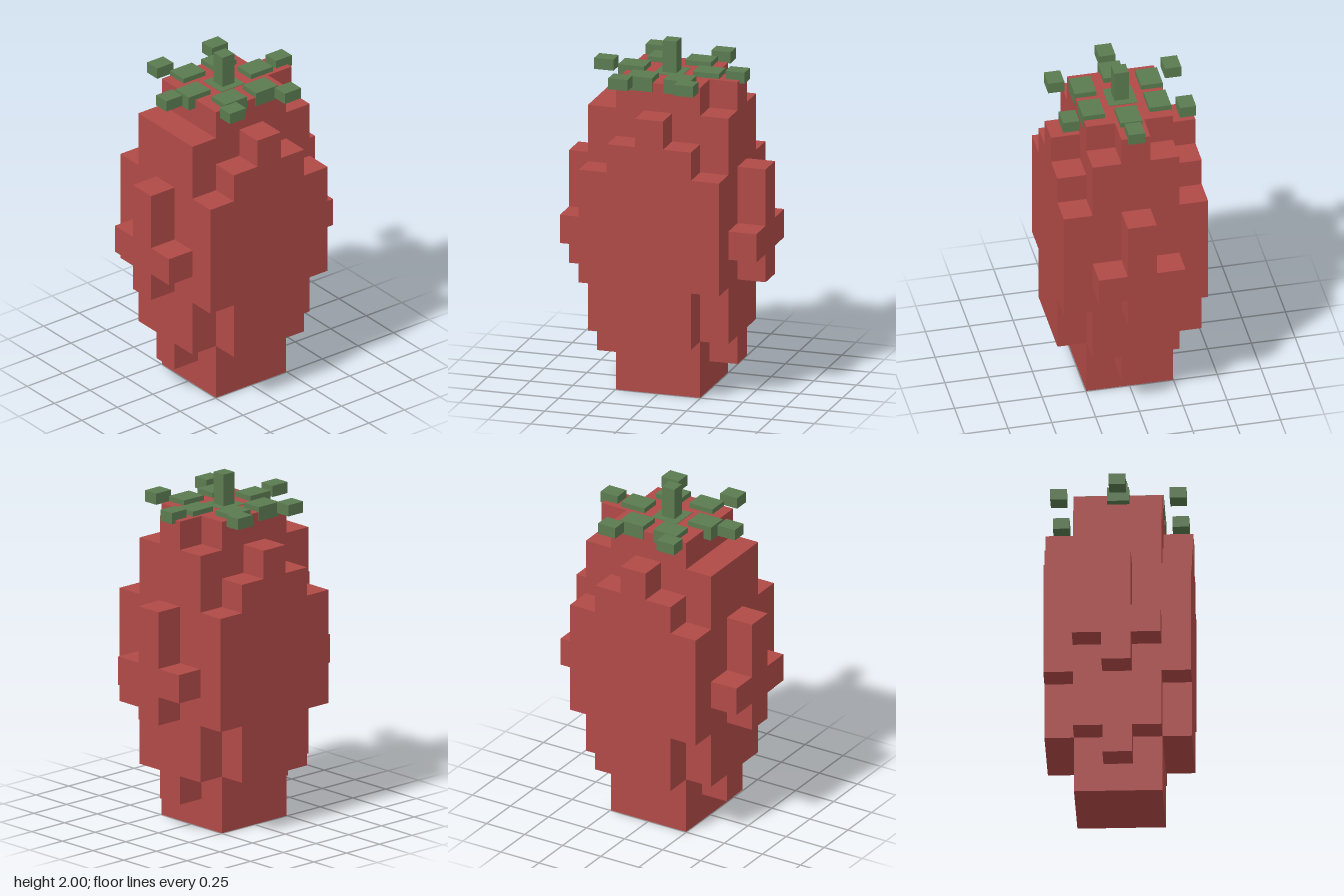
import * as THREE from 'three';
import { mergeGeometries } from 'three/addons/utils/BufferGeometryUtils.js';

const S = 0.1648; // voxel edge
const TOP = 11 * S;

// Voxel runs of the fruit: half-width x, half-width z, first layer, last layer
const runs = [
  [1, 1, 0, 10], // core
  [2, 0, 1, 9], [2, 1, 2, 9], // side bulges
  [1, 2, 2, 8], [2, 2, 4, 7], [0, 2, 9, 9], // front and back bulges
  [3, 0, 4, 7], [3, 1, 5, 5], // crosses on both sides
];

function filled(x, y, z) {
  if (x === 2 && y === 10 && z === 0) return true; // lone bump on the left shoulder
  return runs.some(([hx, hz, y0, y1]) =>
    Math.abs(x) <= hx && Math.abs(z) <= hz && y >= y0 && y <= y1);
}

// Keep only the voxel faces that border empty space
function voxelGeometry() {
  const sides = [
    [[0, 0, 1], 0, 0], [[0, 0, -1], 0, Math.PI],
    [[1, 0, 0], 0, Math.PI / 2], [[-1, 0, 0], 0, -Math.PI / 2],
    [[0, 1, 0], -Math.PI / 2, 0], [[0, -1, 0], Math.PI / 2, 0],
  ];
  const faces = [];
  for (let x = -3; x <= 3; x++)
    for (let y = 0; y <= 10; y++)
      for (let z = -2; z <= 2; z++) {
        if (!filled(x, y, z)) continue;
        for (const [[dx, dy, dz], rx, ry] of sides) {
          if (filled(x + dx, y + dy, z + dz)) continue;
          faces.push(new THREE.PlaneGeometry(S, S).rotateX(rx).rotateY(ry)
            .translate((x + dx / 2) * S, (y + 0.5 + dy / 2) * S, (z + dz / 2) * S));
        }
      }
  return mergeGeometries(faces);
}

export function createModel() {
  const red = new THREE.MeshStandardMaterial({ color: 0xb04a47 });
  red.name = 'berry red';
  const green = new THREE.MeshStandardMaterial({ color: 0x5b7b50 });
  green.name = 'leaf green';

  const model = new THREE.Group();
  model.name = 'strawberry';

  const body = new THREE.Mesh(voxelGeometry(), red);
  body.name = 'fruit';
  model.add(body);

  const crown = new THREE.Group();
  crown.name = 'crown';
  model.add(crown);

  function block(name, w, d, y0, y1, x, z) {
    const mesh = new THREE.Mesh(new THREE.BoxGeometry(w, y1 - y0, d), green);
    mesh.name = name;
    mesh.position.set(x, (y0 + y1) / 2, z);
    crown.add(mesh);
  }

  block('crownPatch', S, S, TOP - 0.002, TOP + 0.003, 0, 0);
  block('stem', 0.082, 0.082, TOP, 2, 0, 0);

  // Six leaves around the stem, each with a raised tip further out
  for (let i = 0; i < 6; i++) {
    const a = (i * Math.PI) / 3;
    const c = Math.cos(a), s = Math.sin(a);
    block('leaf', 0.153, 0.124, 1.76, 1.842, 0.219 * c, 0.219 * s);
    block('leafTip', 0.113, 0.093, 1.795, 1.86, 0.385 * c, 0.385 * s);
  }
  return model;
}
